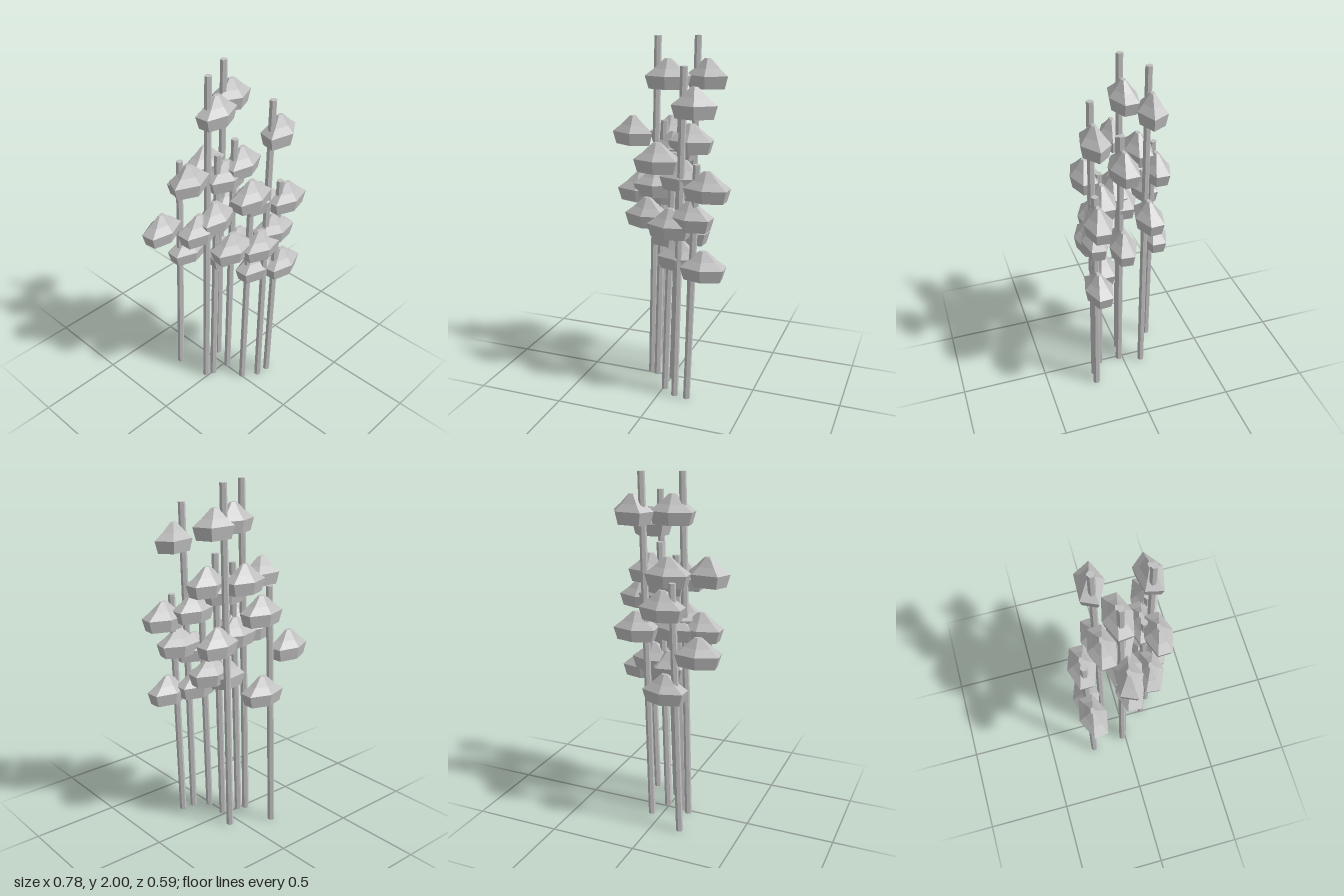
import * as THREE from 'three';

// One row per stalk: base x, base z, height, side counts of its three pods from the top down
const STALKS = [
  [-0.165, -0.222, 1.45, [6, 6, 6]],
  [-0.138, -0.02, 2.0, [6, 5, 6]],
  [-0.095, 0.0, 1.55, [6, 6, 5]],
  [0.01, 0.022, 1.61, [6, 6, 6]],
  [0.01, 0.15, 1.41, [6, 6, 6]],
  [0.06, -0.106, 2.0, [5, 6, 6]],
  [0.09, 0.207, 1.87, [5, 6, 6]],
  [0.165, 0.215, 1.37, [6, 6, 6]],
];
const LEAN = 0.05; // sideways shift from base to tip
const POD_LEVELS = [0.86, 0.7, 0.54]; // pod undersides as a share of the height
const POD_OFFSETS = [0.063, -0.135, 0.063]; // pods alternate around the stalk

// Faceted pod: narrow underside, widest belt, tapering to a small flat cap
function podGeometry(sides) {
  const profile = [
    [0, 0], [0.84, 0], [1, 0.07], [0.6, 0.108], [0.16, 0.16], [0, 0.16],
  ].map(([r, y]) => new THREE.Vector2(r, y));
  const geometry = new THREE.LatheGeometry(profile, sides, sides === 5 ? 0.1 : 0);
  return geometry.scale(sides === 5 ? 0.127 : 0.138, 1, 0.079);
}

// Straight hexagonal stalk sheared sideways so its ends stay level
function stalkGeometry(height) {
  const geometry = new THREE.CylinderGeometry(0.02, 0.02, height, 6);
  geometry.translate(0, height / 2, 0);
  const shear = new THREE.Matrix4().set(
    1, LEAN / height, 0, 0,
    0, 1, 0, 0,
    0, 0, 1, 0,
    0, 0, 0, 1,
  );
  return geometry.applyMatrix4(shear);
}

export function createModel() {
  const model = new THREE.Group();
  model.name = 'podStalks';
  const grey = new THREE.MeshStandardMaterial({ color: 0xc0c0c0, flatShading: true });
  grey.name = 'plainGrey';
  const pods = { 5: podGeometry(5), 6: podGeometry(6) };

  STALKS.forEach(([x, z, height, sides], i) => {
    const plant = new THREE.Group();
    plant.name = `plant${i + 1}`;
    plant.position.set(x, 0, z);

    const stalk = new THREE.Mesh(stalkGeometry(height), grey);
    stalk.name = 'stalk';
    plant.add(stalk);

    POD_LEVELS.forEach((level, j) => {
      const pod = new THREE.Mesh(pods[sides[j]], grey);
      pod.name = `pod${j + 1}`;
      pod.position.set(LEAN * level + POD_OFFSETS[j], height * level, 0);
      pod.rotation.y = 0.12 * Math.sin(i * 2.3 + j * 1.7); // slight natural turn
      plant.add(pod);
    });
    model.add(plant);
  });
  return model;
}
